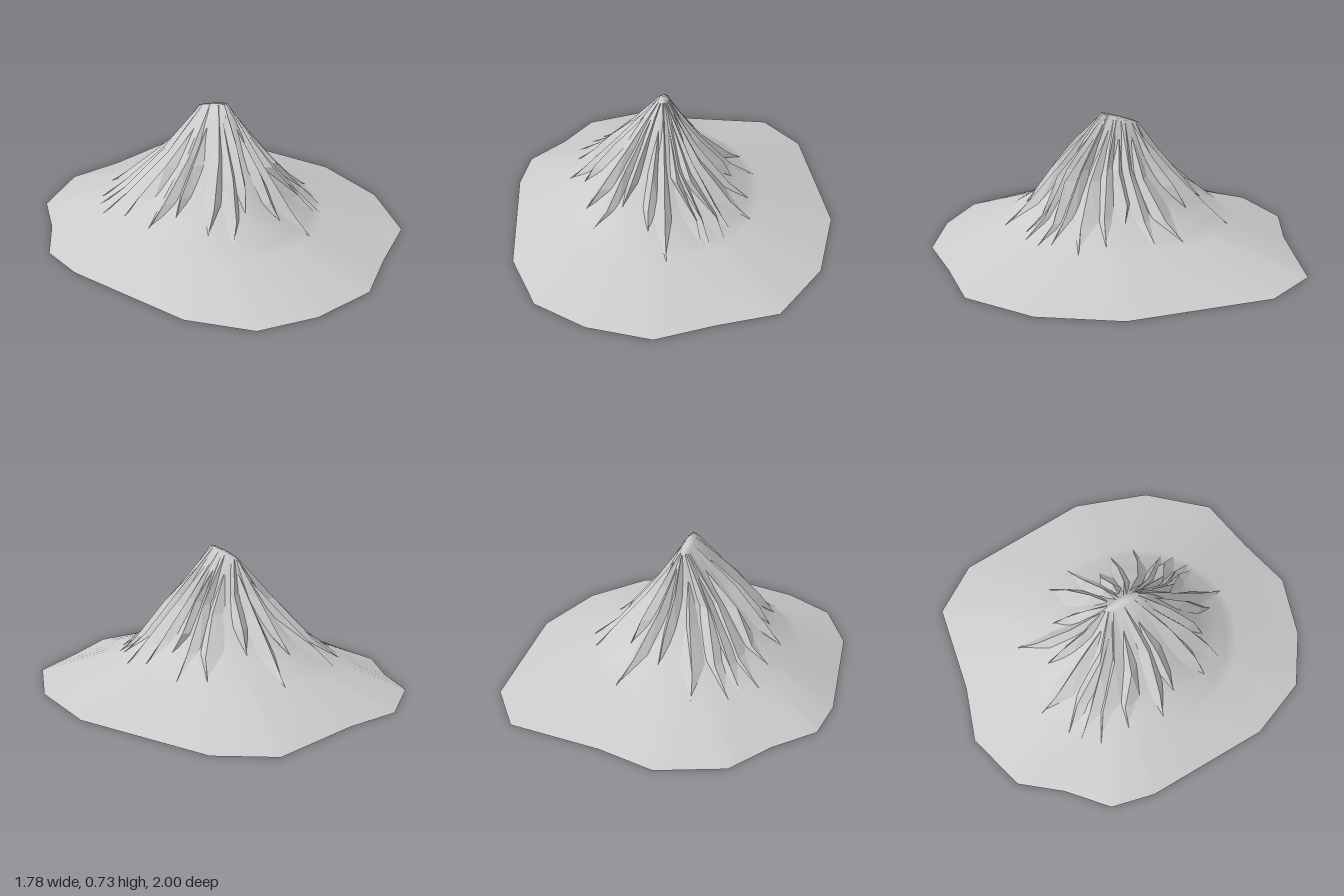
import * as THREE from 'three';

// Contour levels of the mountain, from the summit down: height, centre x, centre z, radius x, radius z
const LEVELS = [
  [0.70, -0.04, -0.03, 0.028, 0.10],
  [0.47, -0.07, 0.01, 0.22, 0.28],
  [0.26, -0.08, 0.0, 0.40, 0.46],
  [0.13, -0.08, -0.02, 0.57, 0.63],
];
// How far the smooth slope sits inside each contour, leaving room for the ridges
const INSET = [0.9, 0.84, 0.92, 0.99];

// Corners of the ground outline (x, z)
const RIM = [
  [-0.22, -1], [0.08, -0.94], [0.57, -0.91], [0.77, -0.67], [0.89, 0.07], [0.79, 0.49],
  [0.56, 0.81], [0.24, 0.9], [-0.05, 1], [-0.38, 0.93], [-0.65, 0.78], [-0.81, 0.47],
  [-0.89, -0.21], [-0.86, -0.45], [-0.68, -0.65], [-0.54, -0.87],
];

// Lower tips of the rocky ridges (x, z)
const TIPS = [
  [-0.62, -0.41], [-0.56, -0.53], [-0.43, -0.5], [-0.27, -0.61], [-0.04, -0.5], [0.17, -0.65],
  [0.18, -0.38], [0.4, -0.29], [0.47, -0.14], [0.37, 0.0], [0.44, 0.12], [0.5, 0.3],
  [0.34, 0.4], [0.37, 0.55], [0.28, 0.62], [0.18, 0.53], [0.0, 0.63], [-0.1, 0.51],
  [-0.26, 0.39], [-0.4, 0.44], [-0.46, 0.31], [-0.5, 0.1], [-0.58, 0.0], [-0.56, -0.2],
];

const lerp = THREE.MathUtils.lerp;

// Point on the mountain at an angle and a level (0 = summit, 3 = foot)
function slopePoint(angle, level, scale = 1) {
  const i = Math.min(Math.floor(level), LEVELS.length - 2);
  const [y, cx, cz, rx, rz] = LEVELS[i].map((v, k) => lerp(v, LEVELS[i + 1][k], level - i));
  const x = cx + Math.cos(angle) * rx * scale;
  const z = cz + Math.sin(angle) * rz * scale;
  // the summit is a crest that climbs towards the front
  const tilt = 0.3 * (z - cz) * Math.max(0, 1 - level);
  return [x, y + tilt, z];
}

function insetAt(level) {
  const i = Math.min(Math.floor(level), INSET.length - 2);
  return lerp(INSET[i], INSET[i + 1], level - i);
}

function seeded(seed) {
  return () => {
    seed = (seed * 16807) % 2147483647;
    return seed / 2147483647;
  };
}

function geometryFrom(positions, index) {
  const g = new THREE.BufferGeometry();
  g.setAttribute('position', new THREE.Float32BufferAttribute(positions, 3));
  if (index) g.setIndex(index);
  g.computeVertexNormals();
  return g;
}

// Smooth slope: rings from the summit to the angular ground outline, open below
function slopeGeometry() {
  const positions = [], index = [];
  const perEdge = 4, steps = 10;
  const outline = RIM.flatMap((a, i) => {
    const b = RIM[(i + 1) % RIM.length];
    return Array.from({ length: perEdge }, (_, k) =>
      [lerp(a[0], b[0], k / perEdge), lerp(a[1], b[1], k / perEdge)]);
  });
  const n = outline.length;
  for (let j = 0; j <= steps + 1; j++) {
    const level = Math.min(3, (j / steps) * 3);
    for (const [x, z] of outline) {
      const angle = Math.atan2(z / 0.63, (x + 0.08) / 0.57);
      positions.push(...(j > steps ? [x, 0, z] : slopePoint(angle, level, insetAt(level))));
    }
  }
  for (let j = 0; j <= steps; j++) {
    for (let i = 0; i < n; i++) {
      const a = j * n + i, b = j * n + (i + 1) % n;
      index.push(a, b, a + n, b, b + n, a + n);
    }
  }
  // cap of the summit
  const top = positions.length / 3;
  positions.push(-0.04, 0.70, -0.03);
  for (let i = 0; i < n; i++) index.push(top, (i + 1) % n, i);
  return geometryFrom(positions, index);
}

// One ridge: a faceted wedge running down from the peak to a sharp tip
function ridgeGeometry([x, z], odd, rand) {
  const angle = Math.atan2(z / 0.63, (x + 0.08) / 0.57);
  const reach = Math.hypot((x + 0.08) / 0.57, z / 0.63);
  const end = Math.min(3, 2 + (reach - 0.72) / 0.28);
  const start = odd ? 0.25 + 0.3 * rand() : 0;
  // level, ridge scale, half width as an angle
  const sections = [
    [start, odd ? insetAt(start) : 1, odd ? 0.02 : 0.2],
    [lerp(start, end, 0.36), 0.97 + 0.09 * rand(), 0.13 + 0.05 * rand()],
    [lerp(start, end, 0.72), 0.98 + 0.05 * rand(), 0.1 + 0.06 * rand()],
    [end, insetAt(end), 0],
  ].map(([level, scale, half], k) => {
    const lean = k === 1 || k === 2 ? (rand() - 0.5) * 0.14 : 0;
    const foot = insetAt(level) - 0.02;
    return [
      slopePoint(angle - half, level, foot),
      slopePoint(angle + lean, level, scale),
      slopePoint(angle + half, level, foot),
    ];
  });
  const positions = [];
  for (let k = 0; k < 3; k++) {
    for (let i = 0; i < 2; i++) {
      const a = sections[k][i], b = sections[k][i + 1];
      const c = sections[k + 1][i], d = sections[k + 1][i + 1];
      positions.push(...a, ...b, ...c, ...b, ...d, ...c);
    }
  }
  return geometryFrom(positions);
}

export function createModel() {
  const group = new THREE.Group();
  group.name = 'mountain';
  const smooth = new THREE.MeshStandardMaterial({ color: 0xcccccc, side: THREE.DoubleSide });
  const faceted = new THREE.MeshStandardMaterial({
    color: 0xcccccc, side: THREE.DoubleSide, flatShading: true,
  });

  const slope = new THREE.Mesh(slopeGeometry(), smooth);
  slope.name = 'slope';
  group.add(slope);

  // Rocky ridges around the peak
  const ridges = new THREE.Group();
  ridges.name = 'ridges';
  const rand = seeded(73);
  TIPS.forEach((tip, i) => {
    const ridge = new THREE.Mesh(ridgeGeometry(tip, i % 2 === 1, rand), faceted);
    ridge.name = 'ridge';
    ridges.add(ridge);
  });
  group.add(ridges);
  return group;
}
